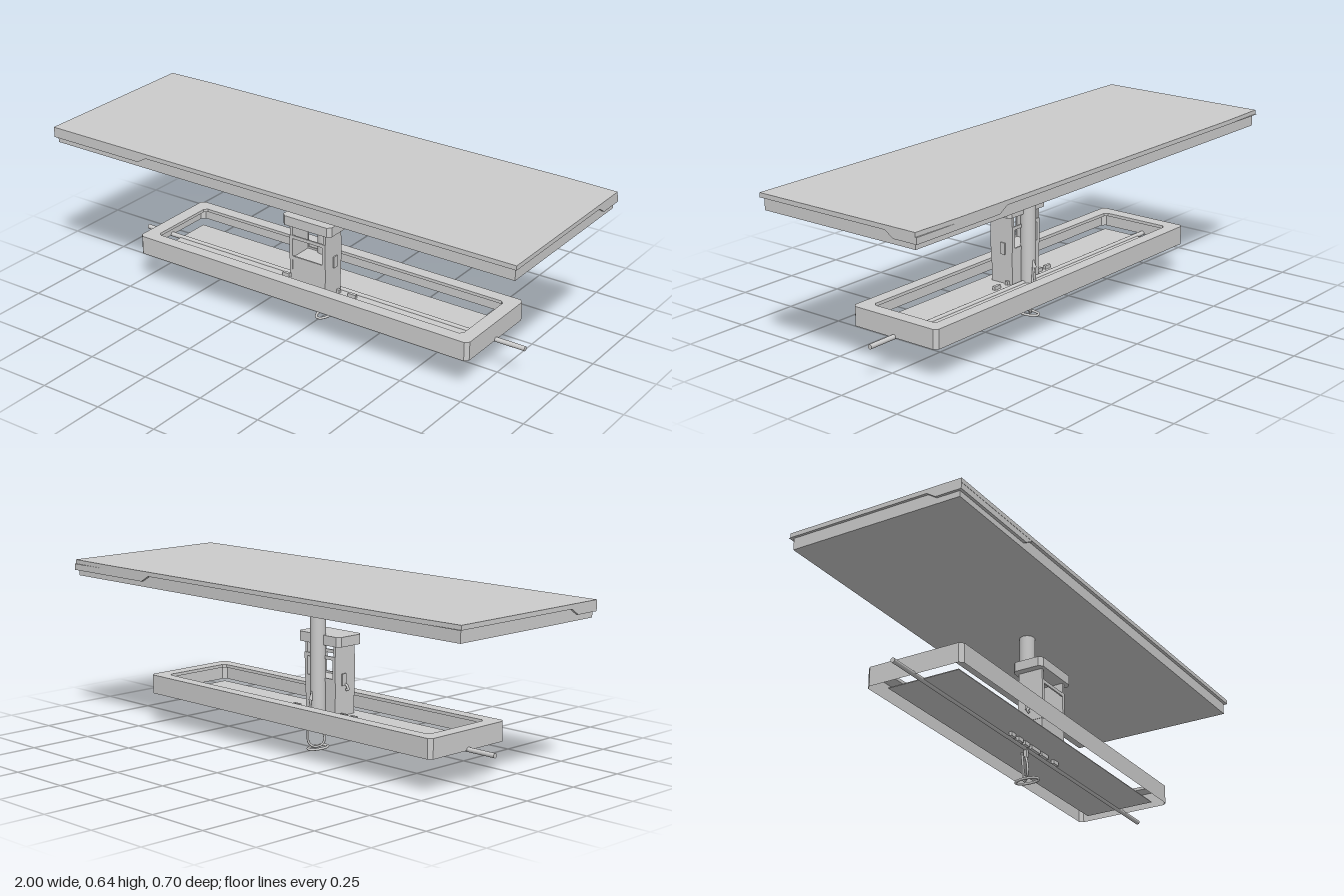
import * as THREE from 'three';

const grey = new THREE.MeshStandardMaterial({ color: 0xcccccc });
const doubleGrey = new THREE.MeshStandardMaterial({ color: 0xcccccc, side: THREE.DoubleSide });

export function createModel() {
  const model = new THREE.Group();

  const add = (name, geometry, x = 0, y = 0, z = 0, parent = model, mat = grey) => {
    const mesh = new THREE.Mesh(geometry, mat);
    mesh.name = name;
    mesh.position.set(x, y, z);
    parent.add(mesh);
    return mesh;
  };
  // Box given by its limits on each axis
  const box = (name, x0, x1, y0, y1, z0, z1, parent = model) =>
    add(name, new THREE.BoxGeometry(x1 - x0, y1 - y0, z1 - z0),
      (x0 + x1) / 2, (y0 + y1) / 2, (z0 + z1) / 2, parent);
  const polygon = (points) => new THREE.Shape(points.map(([x, y]) => new THREE.Vector2(x, y)));
  const extrude = (shape, depth) => new THREE.ExtrudeGeometry(shape, { depth, bevelEnabled: false });
  const tube = (name, points, radius, closed = false) => {
    const curve = new THREE.CatmullRomCurve3(points.map((p) => new THREE.Vector3(...p)), closed);
    return add(name, new THREE.TubeGeometry(curve, 40, radius, 8, closed));
  };

  // Canopy: top slab with a slightly bowed back edge, and an inset lower deck
  const slabShape = polygon([[-1, -0.353], [1, -0.353], [1, 0.346], [0.8, 0.352], [-0.8, 0.352], [-1, 0.346]]);
  add('canopySlab', extrude(slabShape, 0.017).rotateX(-Math.PI / 2), 0, 0.625, 0);
  box('canopyDeck', -0.99, 0.99, 0.58, 0.626, -0.338, 0.341);

  // Fascia drops below the slab at one end of every side
  const drop = (length, rampStart, rampEnd) => extrude(
    polygon([[0, 0], [rampStart, 0], [rampEnd, 0.023], [length, 0.023], [length, 0.024], [0, 0.024]]), 0.011);
  for (const turn of [0, Math.PI]) {
    const fascia = new THREE.Group();
    fascia.name = turn ? 'backFascia' : 'frontFascia';
    fascia.rotation.y = turn;
    model.add(fascia);
    add('longFascia', drop(2, 0.41, 0.45), -1, 0.602, 0.341, fascia);
    add('shortFascia', drop(0.7, 0.1, 0.135).rotateY(-Math.PI / 2), 1, 0.602, -0.351, fascia);
  }

  // Round column
  add('column', new THREE.CylinderGeometry(0.029, 0.029, 0.455, 32), 0, 0.3565, 0);

  // Island: thin outer wall, top rim with a long opening, and a floor panel
  const outline = (hx, hz, c) => [
    [-hx + c, -hz], [hx - c, -hz], [hx, -hz + c], [hx, hz - c],
    [hx - c, hz], [-hx + c, hz], [-hx, hz - c], [-hx, -hz + c]];
  const corners = outline(0.738, 0.194, 0.014);
  const wallPositions = [];
  corners.forEach(([x0, z0], i) => {
    const [x1, z1] = corners[(i + 1) % corners.length];
    const a = [x0, 0.127, z0], b = [x1, 0.127, z1], c = [x1, 0.2, z1], d = [x0, 0.2, z0];
    wallPositions.push(...a, ...c, ...b, ...a, ...d, ...c);
  });
  const wall = new THREE.BufferGeometry();
  wall.setAttribute('position', new THREE.Float32BufferAttribute(wallPositions, 3));
  wall.computeVertexNormals();
  add('islandWall', wall, 0, 0, 0, model, doubleGrey);
  const rim = polygon(corners);
  rim.holes.push(polygon(outline(0.685, 0.145, 0.012)));
  add('islandRim', extrude(rim, 0.012).rotateX(-Math.PI / 2), 0, 0.188, 0);
  box('islandFloor', -0.69, 0.69, 0.128, 0.131, -0.135, 0.15);

  // Long rod through the island
  const rod = add('crossRod', new THREE.CylinderGeometry(0.009, 0.009, 1.716, 12), 0, 0.13, 0);
  rod.rotation.z = Math.PI / 2;

  // Cabinet: base, side walls, window frames and cap with cut corners
  const cabinet = new THREE.Group();
  cabinet.name = 'cabinet';
  model.add(cabinet);
  box('cabinetBase', -0.078, 0.078, 0.131, 0.265, 0.012, 0.11, cabinet);
  for (const s of [-1, 1]) {
    const x = s * 0.074;
    box('cabinetSide', x - 0.006, x + 0.006, 0.2, 0.4, 0.012, 0.111, cabinet);
    box('sidePanel', s * 0.081 - 0.004, s * 0.081 + 0.004, 0.245, 0.29, 0.042, 0.063, cabinet);
  }
  const frame = polygon([[-0.08, 0.258], [0.08, 0.258], [0.08, 0.356], [-0.08, 0.356]]);
  frame.holes.push(polygon([[-0.066, 0.272], [-0.066, 0.343], [0.066, 0.343], [0.066, 0.272]]));
  for (const z of [0.009, 0.107]) add('windowFrame', extrude(frame, 0.006), 0, 0, z, cabinet);
  const capShape = polygon(outline(0.108, 0.063, 0.014));
  add('cabinetCap', extrude(capShape, 0.037).rotateX(-Math.PI / 2), 0, 0.397, 0.062, cabinet);

  // Side hook on the cabinet
  tube('sideHook', [[-0.078, 0.25, 0.06], [-0.09, 0.246, 0.06], [-0.098, 0.232, 0.06], [-0.088, 0.229, 0.06]], 0.005);

  // Small fittings in a row through the floor
  for (const [x, w] of [[-0.155, 0.03], [-0.105, 0.03], [-0.06, 0.03], [0, 0.06], [0.065, 0.05], [0.145, 0.035]]) {
    box('floorFitting', x - w / 2, x + w / 2, 0.113, 0.145, 0.026, 0.038);
  }

  // Hanging hose with its connector, upper tip and foot loop
  box('hoseConnector', -0.016, -0.002, 0.095, 0.13, -0.006, 0.006);
  tube('hose', [[-0.01, 0.097, 0], [-0.016, 0.07, 0.009], [-0.02, 0.035, 0.014], [-0.012, 0.015, 0.005],
    [0.008, 0.01, -0.015], [0.02, 0.025, -0.029], [0.022, 0.07, -0.031], [0.015, 0.13, -0.032],
    [0.006, 0.2, -0.031]], 0.0045);
  const tip = add('hoseTip', new THREE.ConeGeometry(0.008, 0.05, 10), 0.004, 0.214, -0.028);
  tip.rotation.x = 0.25;
  const loop = [];
  for (let i = 0; i < 10; i++) {
    const a = (i / 10) * Math.PI * 2;
    loop.push([0.024 * Math.cos(a), 0.005, 0.047 * Math.sin(a)]);
  }
  tube('footLoop', loop, 0.005, true);

  return model;
}
